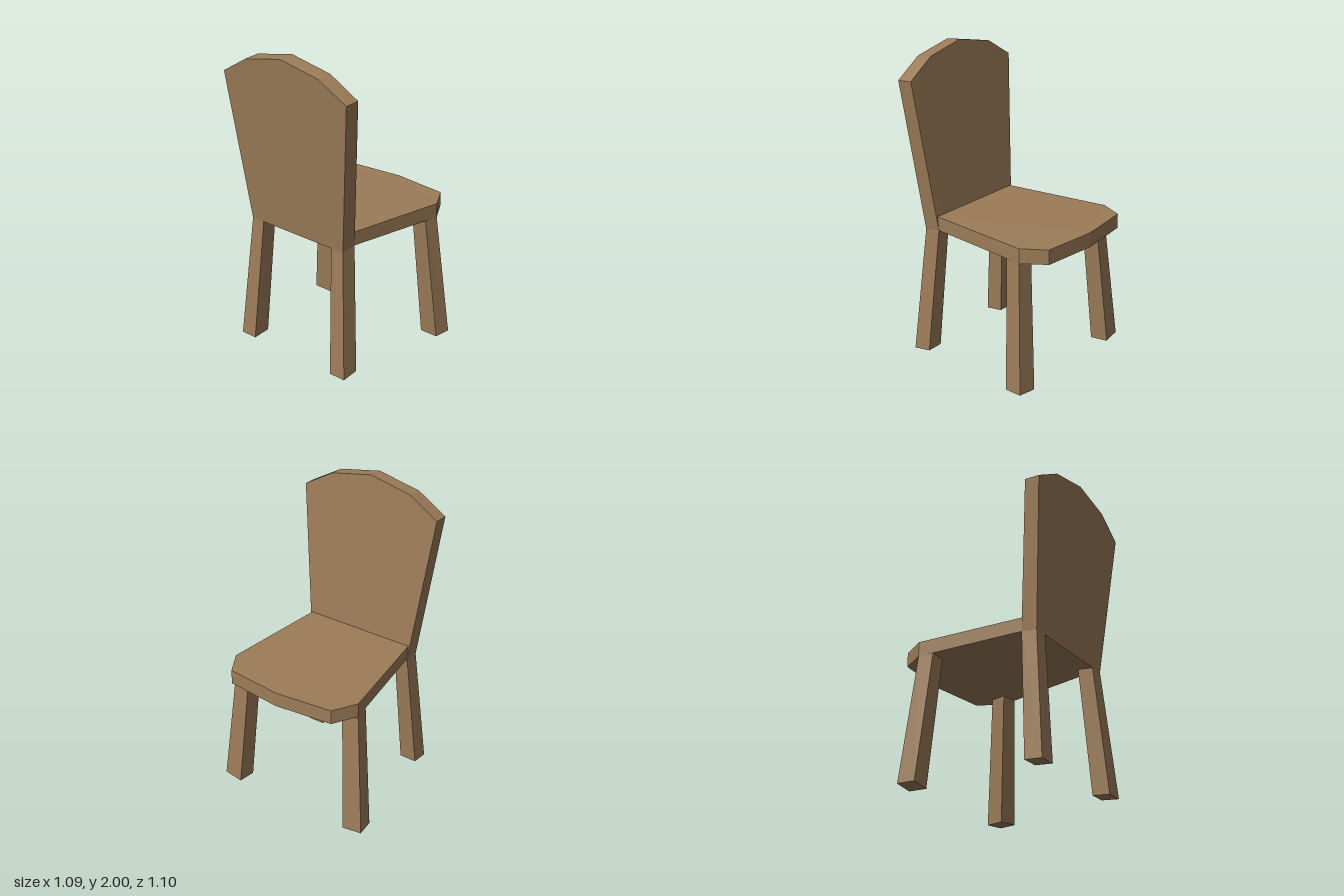
import * as THREE from 'three';

const wood = new THREE.MeshStandardMaterial({ color: 0x9c7c58, flatShading: true });

// Flat-sided solid between two matching rings; ring a runs counter-clockwise seen from its own outer side.
function prism(name, a, b) {
  const pos = [];
  const tri = (...pts) => pts.forEach((p) => pos.push(...p));
  const n = a.length;
  for (let i = 1; i < n - 1; i++) {
    tri(a[0], a[i], a[i + 1]);
    tri(b[0], b[i + 1], b[i]);
  }
  for (let i = 0; i < n; i++) {
    const j = (i + 1) % n;
    tri(a[i], b[i], b[j]);
    tri(a[i], b[j], a[j]);
  }
  const geometry = new THREE.BufferGeometry();
  geometry.setAttribute('position', new THREE.Float32BufferAttribute(pos, 3));
  geometry.computeVertexNormals();
  const mesh = new THREE.Mesh(geometry, wood);
  mesh.name = name;
  return mesh;
}

// Mirror a ring across x = 0, keeping its winding
const mirror = (ring) => ring.map(([x, y, z]) => [-x, y, z]).reverse();

// Complete a ring from its centre point and its one-sided points
const symmetric = (centre, side) => [centre, ...mirror(side).reverse(), ...[...side].reverse()];

export function createModel() {
  const chair = new THREE.Group();
  chair.name = 'chair';

  // Seat: widest near the free edge, which comes to a shallow point
  chair.add(prism('seat',
    symmetric([0, 0.93, -0.55], [[0.38, 0.93, -0.51], [0.47, 0.93, -0.355], [0.38, 0.95, 0.345]]),
    symmetric([0, 0.835, -0.55], [[0.38, 0.835, -0.51], [0.47, 0.835, -0.355], [0.38, 0.86, 0.335]])));

  // Backrest: leaning slab that flares upward to a faceted arch
  chair.add(prism('backrest',
    symmetric([0, 1.992, 0.55], [[0.29, 1.935, 0.546], [0.49, 1.82, 0.535], [0.38, 0.847, 0.44]]),
    symmetric([0, 2, 0.45], [[0.29, 1.943, 0.445], [0.49, 1.825, 0.435], [0.38, 0.86, 0.335]])));

  // Legs under the backrest
  const rearTop = [[0.285, 0.847, 0.44], [0.38, 0.847, 0.44], [0.38, 0.86, 0.335], [0.285, 0.86, 0.335]];
  const rearFoot = [[0.33, 0.02, 0.505], [0.445, 0.02, 0.505], [0.443, 0.032, 0.388], [0.328, 0.032, 0.388]];

  // Splayed legs under the free edge of the seat
  const frontTop = [[0.345, 0.838, -0.265], [0.457, 0.838, -0.255], [0.47, 0.835, -0.355], [0.36, 0.835, -0.365]];
  const frontFoot = [[0.4, 0, -0.318], [0.535, 0.01, -0.305], [0.547, 0.01, -0.42], [0.415, 0, -0.432]];

  for (const [name, top, foot] of [['rearLeg', rearTop, rearFoot], ['frontLeg', frontTop, frontFoot]]) {
    chair.add(prism(name + 'Left', top, foot));
    chair.add(prism(name + 'Right', mirror(top), mirror(foot)));
  }
  return chair;
}
